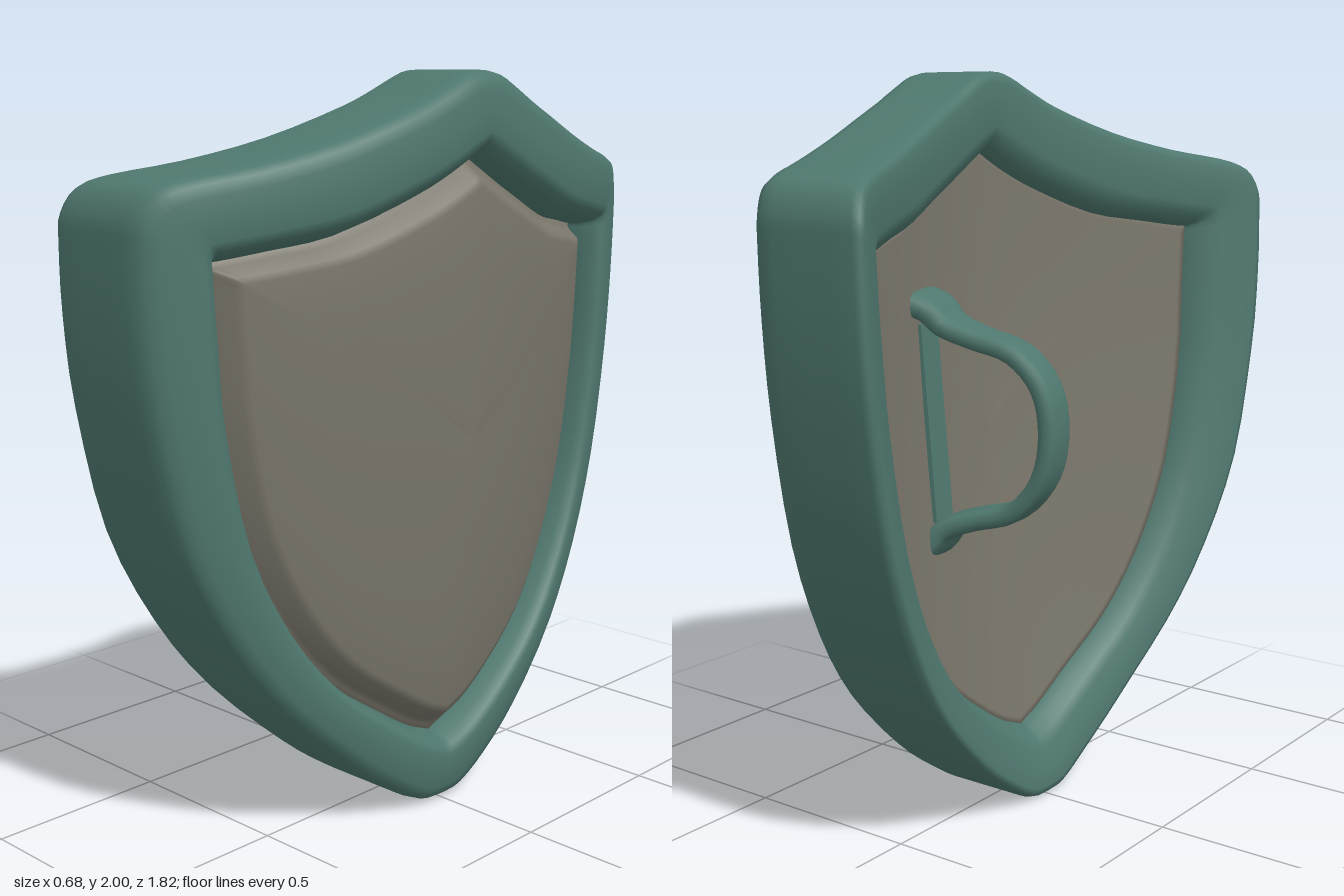
import * as THREE from 'three';

const V = (x, y, z) => new THREE.Vector3(x, y, z);

// Half outline of the shield from top to bottom: outer [side, y], inner [side, y]
const PAIRS = [
  [0, 2.0, 0, 1.81], [0.06, 1.993, 0.05, 1.785], [0.15, 1.952, 0.13, 1.745],
  [0.245, 1.91, 0.22, 1.705], [0.456, 1.835, 0.42, 1.63], [0.65, 1.785, 0.58, 1.6],
  [0.8, 1.757, 0.7, 1.58], [0.87, 1.73, 0.735, 1.575], [0.905, 1.67, 0.742, 1.56],
  [0.91, 1.6, 0.74, 1.53], [0.905, 1.42, 0.73, 1.37], [0.88, 1.19, 0.71, 1.15],
  [0.81, 0.865, 0.645, 0.85], [0.69, 0.6, 0.53, 0.605], [0.54, 0.387, 0.385, 0.42],
  [0.33, 0.185, 0.21, 0.285], [0.185, 0.075, 0.095, 0.21], [0.075, 0.01, 0.035, 0.182],
  [0, 0, 0, 0.17],
];
const HALF = 54;

// Back surface of the bent shield, and its local thickness
const backX = (y, z) =>
  -0.13 + 0.19 * y - 0.05 * y * y - 0.305 * Math.pow(Math.abs(z) / 0.89, 1.7);
const thickness = (y, z) => 0.318 - 0.018 * y + 0.05 * Math.abs(z);

// Full closed outline; s = 0 is the outer edge, s = 1 the inner edge
function outline(s) {
  const outer = new THREE.CatmullRomCurve3(PAIRS.map((p) => V(0, p[1], p[0])), false, 'catmullrom');
  const inner = new THREE.CatmullRomCurve3(PAIRS.map((p) => V(0, p[3], p[2])), false, 'catmullrom');
  const half = [];
  for (let i = 0; i <= HALF; i++) {
    half.push(outer.getPoint(i / HALF).lerp(inner.getPoint(i / HALF), s));
  }
  half.forEach((p) => { p.z = Math.max(0, p.z); });
  const mirrored = half.slice(1, -1).reverse().map((p) => V(0, p.y, -p.z));
  return [...half, ...mirrored];
}

// Skin over a list of closed rings
function loft(rings, closed) {
  const n = rings[0].length;
  const m = rings.length;
  const index = [];
  for (let i = 0; i < (closed ? m : m - 1); i++) {
    for (let j = 0; j < n; j++) {
      const i2 = (i + 1) % m;
      const j2 = (j + 1) % n;
      const a = i * n + j, b = i2 * n + j, c = i2 * n + j2, d = i * n + j2;
      index.push(a, b, c, a, c, d);
    }
  }
  const geometry = new THREE.BufferGeometry().setFromPoints(rings.flat());
  geometry.setIndex(index);
  geometry.computeVertexNormals();
  return geometry;
}

// Rounded frame: cross-section [s, depth fraction] carried round the outline
function rimGeometry() {
  const section = [
    [0, 0.1], [0, 0.3], [0, 0.6], [0, 0.82], [0.03, 0.92], [0.1, 0.98], [0.25, 1], [0.5, 1.01],
    [0.8, 1], [0.93, 0.96], [1.03, 0.87], [1.12, 0.7], [1.12, 0.24], [1.03, 0.13],
    [0.9, 0.05], [0.75, 0.01], [0.4, 0], [0.15, 0], [0.04, 0.03],
  ];
  const loops = section.map(([s, d]) => outline(s).map((p) =>
    V(backX(p.y, p.z) + d * thickness(p.y, p.z), p.y, p.z)));
  const rings = loops[0].map((_, i) => loops.map((loop) => loop[i]));
  return loft(rings, true);
}

// Bent panel: shrinking copies of the inner outline, front centre to back centre
function panelGeometry() {
  const edge = outline(1.1);
  const cy = 1.05;
  const front = [
    [0, 0.29], [0.2, 0.29], [0.4, 0.29], [0.6, 0.29], [0.75, 0.289], [0.89, 0.286],
    [0.92, 0.279], [0.96, 0.24], [0.98, 0.228], [1.01, 0.222],
  ];
  const back = [1.01, 0.98, 0.8, 0.6, 0.4, 0.2, 0];
  const ring = (k, offset, taper) => edge.map((p) => {
    const y = cy + (p.y - cy) * k;
    const z = p.z * k;
    return V(backX(y, z) + offset - taper * y, y, z);
  });
  return loft([
    ...front.map(([k, offset]) => ring(k, offset, 0.02)),
    ...back.map((k) => ring(k, 0.07, 0)),
  ], false);
}

// Grip strap: path of [distance from panel, y], widening into feet at both ends
const GRIP = { x: 0.04, z: -0.31, angle: 0.19 };
function gripGeometry() {
  const path = new THREE.CatmullRomCurve3([
    [-0.05, 1.42], [0.015, 1.4], [0.06, 1.36], [0.14, 1.33], [0.255, 1.295], [0.33, 1.215],
    [0.353, 1.1], [0.33, 0.98], [0.255, 0.89], [0.14, 0.855], [0.06, 0.825], [0.015, 0.775], [-0.05, 0.75],
  ].map(([p, y]) => V(p, y, 0)));
  const out = V(-Math.cos(GRIP.angle), 0, Math.sin(GRIP.angle));
  const wide = V(Math.sin(GRIP.angle), 0, Math.cos(GRIP.angle));
  const steps = 48;
  const sides = 16;
  const soft = (v) => Math.sign(v) * Math.pow(Math.abs(v), 0.6);
  const rings = [];
  for (let i = 0; i <= steps; i++) {
    const p = path.getPoint(i / steps);
    const t = path.getTangent(i / steps);
    const flare = Math.pow(Math.abs(2 * i / steps - 1), 3);
    const ring = [];
    for (let j = 0; j < sides; j++) {
      const a = (j / sides) * Math.PI * 2;
      const w = soft(Math.cos(a)) * (0.062 + 0.045 * flare);
      const h = -soft(Math.sin(a)) * (0.026 + 0.012 * flare);
      ring.push(V(GRIP.x, 0, GRIP.z)
        .addScaledVector(out, p.x - t.y * h)
        .addScaledVector(wide, w)
        .add(V(0, p.y + t.x * h, 0)));
    }
    rings.push(ring);
  }
  return loft(rings, false);
}

export function createModel() {
  const group = new THREE.Group();
  group.name = 'shield';
  const green = new THREE.MeshStandardMaterial({ color: 0x4f786f });
  green.name = 'dull green';
  const grey = new THREE.MeshStandardMaterial({ color: 0x7a766b });
  grey.name = 'warm grey';

  const add = (name, geometry, material) => {
    const mesh = new THREE.Mesh(geometry, material);
    mesh.name = name;
    group.add(mesh);
    return mesh;
  };
  add('rim', rimGeometry(), green);
  add('panel', panelGeometry(), grey);
  add('grip', gripGeometry(), green);

  // Mounting strip between the grip's feet
  const strip = add('gripBase', new THREE.BoxGeometry(0.03, 0.52, 0.09), green);
  strip.position.set(GRIP.x - 0.005, 1.1, GRIP.z);
  strip.rotation.set(0, GRIP.angle, -0.08);
  return group;
}
